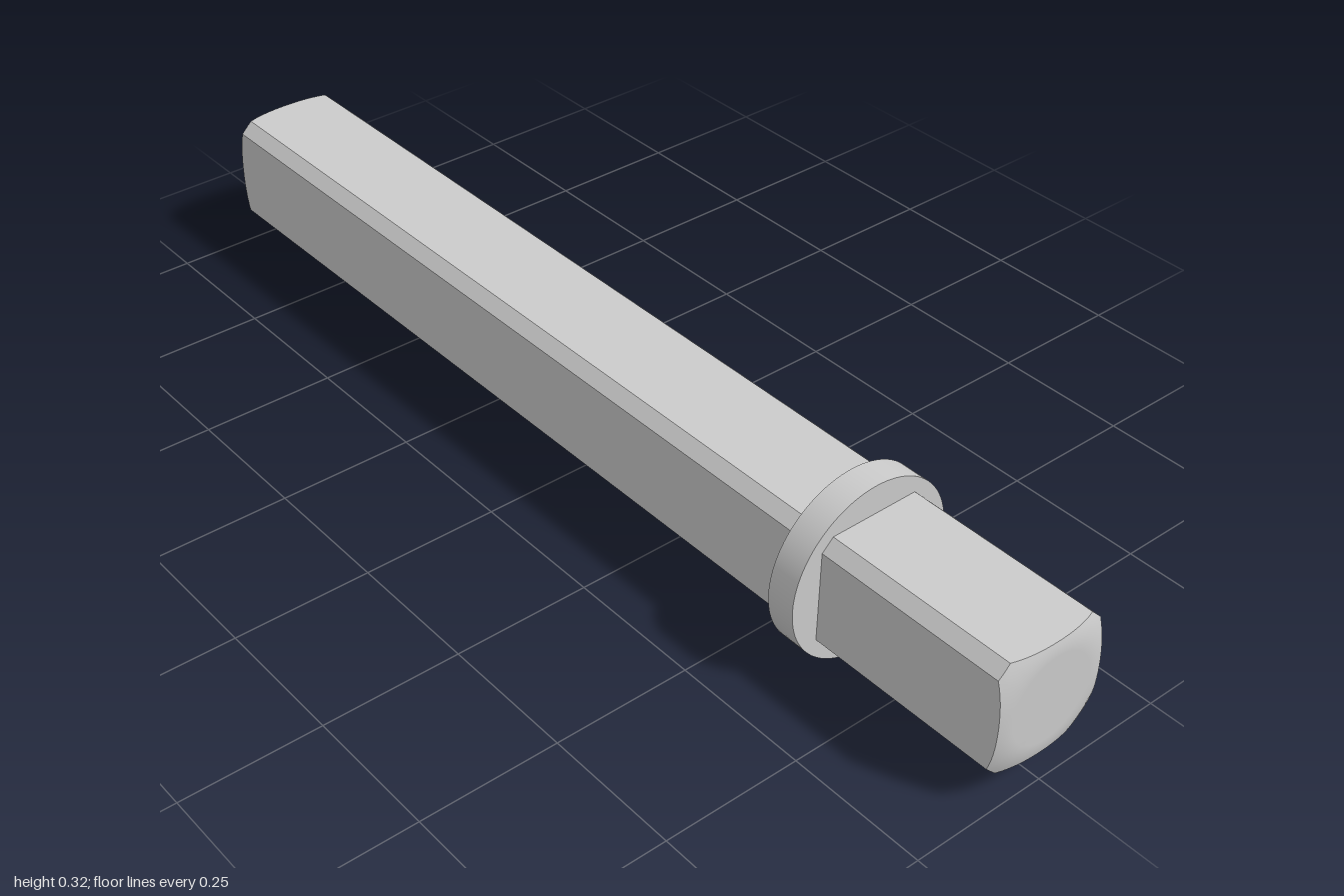
import * as THREE from 'three';

const HALF = 0.106, FLAT = 0.085, AXIS_Y = 0.16; // bar half width, half width of its flats, axis height
const CROWN_R = 0.08, CROWN_DROP = 0.015;        // flat disc on each end, fall-off at the corners
const material = new THREE.MeshStandardMaterial({ color: 0xcccccc });

// Chamfered square, counter-clockwise seen from +z
const corners = [
  [HALF, -FLAT], [HALF, FLAT], [FLAT, HALF], [-FLAT, HALF],
  [-HALF, FLAT], [-HALF, -FLAT], [-FLAT, -HALF], [FLAT, -HALF],
].map(([x, y]) => new THREE.Vector2(x, y));

// Each side of the section as evenly spaced points
const sides = corners.map((a, i) => {
  const b = corners[(i + 1) % 8], n = i % 2 ? 3 : 14;
  return Array.from({ length: n + 1 }, (_, k) => a.clone().lerp(b, k / n));
});

// Height of the crowned end: flat in the middle, curving back towards the corners
const maxR = Math.hypot(HALF, FLAT);
const endZ = (p) => {
  const t = Math.max(0, p.length() - CROWN_R) / (maxR - CROWN_R);
  return 1 - CROWN_DROP * t * t;
};

function toGeometry(positions, indices) {
  const g = new THREE.BufferGeometry();
  g.setAttribute('position', new THREE.Float32BufferAttribute(positions, 3));
  g.setIndex(indices);
  g.computeVertexNormals();
  return g;
}

// Long flats and chamfers, each side with its own vertices so the edges stay sharp
function wallGeometry() {
  const pos = [], idx = [];
  for (const side of sides) {
    const base = pos.length / 3;
    for (const p of side) pos.push(p.x, p.y, endZ(p), p.x, p.y, -endZ(p));
    for (let k = 0; k < side.length - 1; k++) {
      const a = base + k * 2;
      idx.push(a, a + 1, a + 2, a + 2, a + 1, a + 3);
    }
  }
  return toGeometry(pos, idx);
}

// Crowned end: a disc in the centre, then rings out to the section outline
function endGeometry() {
  const outline = sides.flatMap((s) => s.slice(0, -1));
  const n = outline.length, rings = 6;
  const pos = [0, 0, 1], idx = [];
  for (let j = 0; j <= rings; j++) {
    for (const p of outline) {
      const q = p.clone().setLength(CROWN_R).lerp(p, j / rings);
      pos.push(q.x, q.y, endZ(q));
    }
  }
  for (let i = 0; i < n; i++) {
    const next = (i + 1) % n;
    idx.push(0, 1 + i, 1 + next);
    for (let j = 0; j < rings; j++) {
      const a = 1 + j * n + i, b = 1 + j * n + next;
      idx.push(a, a + n, b, b, a + n, b + n);
    }
  }
  return toGeometry(pos, idx);
}

export function createModel() {
  const group = new THREE.Group();
  group.name = 'collaredSquareBar';
  const add = (name, geometry) => {
    const mesh = new THREE.Mesh(geometry, material);
    mesh.name = name;
    mesh.position.y = AXIS_Y;
    group.add(mesh);
    return mesh;
  };

  // Square bar with crowned ends
  add('barSides', wallGeometry());
  add('frontEnd', endGeometry());
  add('backEnd', endGeometry()).rotation.y = Math.PI;

  // Round collar near the front
  const collar = add('collar', new THREE.CylinderGeometry(0.16, 0.16, 0.053, 96).rotateX(Math.PI / 2));
  collar.position.z = 0.608;

  return group;
}
